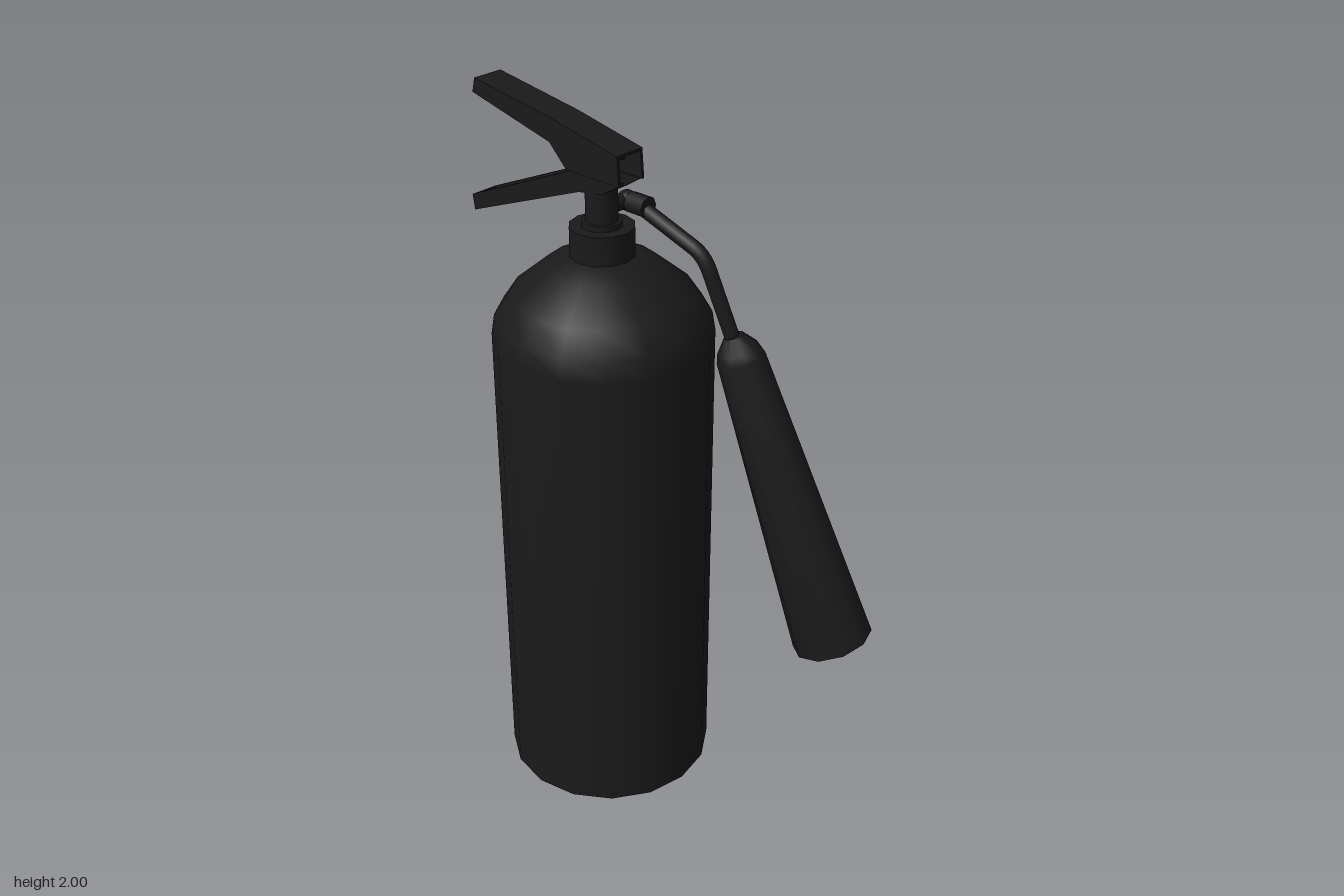
import * as THREE from 'three';
import { toCreasedNormals } from 'three/addons/utils/BufferGeometryUtils.js';

const CX = -0.037, CZ = -0.14; // axis of the tank

export function createModel() {
  const model = new THREE.Group();
  const black = new THREE.MeshStandardMaterial({ color: 0x1a1a1a });
  const v2 = (p) => new THREE.Vector2(p[0], p[1]);

  const add = (name, geometry, x = 0, y = 0, z = 0, parent = model) => {
    const mesh = new THREE.Mesh(geometry, black);
    mesh.name = name;
    mesh.position.set(x, y, z);
    parent.add(mesh);
    return mesh;
  };
  const lathe = (points, sides) => toCreasedNormals(new THREE.LatheGeometry(points.map(v2), sides), 0.75);

  // Plate with a (z, y) outline, spanning a width along x
  const plate = (outline, x, width) => {
    const g = new THREE.ExtrudeGeometry(new THREE.Shape(outline.map(v2)), { depth: width, bevelEnabled: false });
    g.rotateY(-Math.PI / 2);
    g.translate(x + width / 2, 0, 0);
    return g;
  };

  // Folded sheet lever: two side plates joined by a thin web
  const lever = (name, side, web, width) => {
    const group = new THREE.Group();
    group.name = name;
    const t = 0.008;
    for (const s of [-1, 1]) add('leverSide', plate(side, CX + s * (width - t) / 2, t), 0, 0, 0, group);
    add('leverWeb', plate(web, CX, width - 2 * t), 0, 0, 0, group);
    model.add(group);
  };

  // Tank with rounded shoulder
  add('tank', lathe([[0, 0], [0.298, 0], [0.298, 1.39], [0.289, 1.445], [0.245, 1.51],
    [0.15, 1.59], [0.09, 1.615], [0, 1.625]], 16), CX, 0, CZ);

  // Collar and valve
  add('collar', lathe([[0, 1.6], [0.088, 1.6], [0.088, 1.695], [0.055, 1.695], [0.055, 1.71], [0, 1.71]], 12), CX, 0, CZ);
  add('valve', new THREE.CylinderGeometry(0.044, 0.044, 0.14, 12), CX, 1.765, CZ);

  // Hose outlet and nut
  const outlet = new THREE.CylinderGeometry(0.022, 0.022, 0.09, 10).rotateZ(Math.PI / 2);
  add('outlet', outlet, 0.02, 1.737, -0.14);
  const nut = new THREE.CylinderGeometry(0.029, 0.029, 0.06, 8).rotateX(Math.PI / 2);
  add('hoseNut', nut, 0.052, 1.737, -0.09);
  add('outletCorner', new THREE.SphereGeometry(0.028, 10, 8), 0.052, 1.737, -0.135);

  // Bent hose
  const path = new THREE.CurvePath();
  const p = [[0.052, 1.737, -0.1], [0.053, 1.72, -0.05], [0.06, 1.67, 0.085], [0.066, 1.655, 0.12],
    [0.07, 1.61, 0.137], [0.097, 1.41, 0.208]].map((a) => new THREE.Vector3(...a));
  path.add(new THREE.LineCurve3(p[0], p[1]));
  path.add(new THREE.LineCurve3(p[1], p[2]));
  path.add(new THREE.QuadraticBezierCurve3(p[2], p[3], p[4]));
  path.add(new THREE.LineCurve3(p[4], p[5]));
  add('hose', new THREE.TubeGeometry(path, 32, 0.02, 8));

  // Discharge horn with a recessed mouth
  const top = new THREE.Vector3(0.095, 1.445, 0.2);
  const mouth = new THREE.Vector3(0.22, 0.55, 0.487);
  const axis = top.clone().sub(mouth);
  const len = axis.length();
  const horn = add('horn', lathe([[0, 0.06], [0.1, 0.06], [0.102, 0], [0.114, 0], [0.066, len - 0.065],
    [0.058, len - 0.04], [0.027, len], [0, len]], 10), mouth.x, mouth.y, mouth.z);
  horn.quaternion.setFromUnitVectors(new THREE.Vector3(0, 1, 0), axis.normalize());

  // Squeeze lever, a channel open underneath
  lever('upperLever',
    [[-0.034, 1.836], [-0.22, 1.836], [-0.278, 1.894], [-0.563, 1.96], [-0.553, 2.0], [-0.262, 1.958], [-0.04, 1.915]],
    [[-0.04, 1.915], [-0.262, 1.958], [-0.553, 2.0], [-0.563, 1.96], [-0.555, 1.962], [-0.545, 1.992],
      [-0.262, 1.949], [-0.042, 1.907]], 0.092);

  // Carrying handle, a channel open on top
  lever('lowerHandle',
    [[-0.036, 1.838], [-0.2, 1.838], [-0.592, 1.667], [-0.585, 1.624], [-0.18, 1.785], [-0.095, 1.8]],
    [[-0.095, 1.8], [-0.18, 1.785], [-0.585, 1.624], [-0.592, 1.667], [-0.582, 1.669], [-0.577, 1.636],
      [-0.18, 1.795], [-0.095, 1.81]], 0.084);

  // Hinge pin
  add('hingePin', new THREE.CylinderGeometry(0.009, 0.009, 0.09, 8).rotateZ(Math.PI / 2), CX, 1.88, -0.1);
  return model;
}
